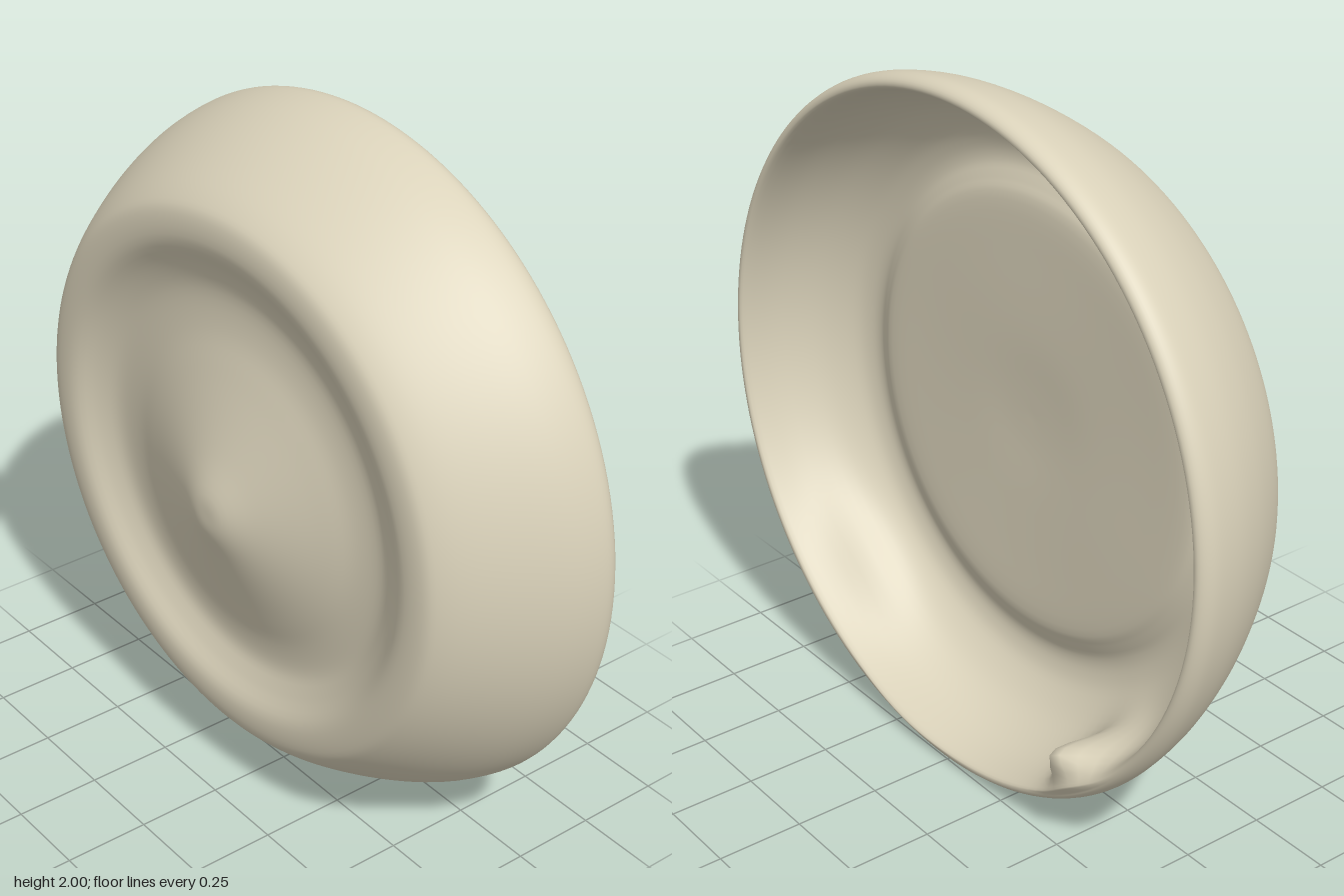
import * as THREE from 'three';
import { mergeVertices } from 'three/addons/utils/BufferGeometryUtils.js';

// dents in the inner wall: angle in the y/z plane, depth position, widths, push inward, lift to the opening
const DENTS = [
  { angle: Math.atan2(-0.72, -0.49), x: 0.13, wide: 0.11, deep: 0.09, push: 0.08, lift: 0.125 },
  { angle: Math.atan2(0.8, -0.28), x: 0.04, wide: 0.2, deep: 0.09, push: 0.04, lift: 0 },
  { angle: Math.atan2(0.45, -0.85), x: 0.05, wide: 0.4, deep: 0.1, push: 0.025, lift: 0 },
  { angle: Math.atan2(-0.68, 0.6), x: 0.08, wide: 0.25, deep: 0.09, push: 0.045, lift: 0 },
  { angle: Math.atan2(-0.98, 0.18), x: 0.2, wide: 0.2, deep: 0.08, push: 0.005, lift: 0.012 },
];

function createDish() {
  // profile as (radius, x): back boss, recess, foot ring, outer wall, rim, inner wall, raised floor
  const profile = [
    [0, -0.285], [0.06, -0.28], [0.16, -0.244], [0.27, -0.206], [0.37, -0.173], [0.46, -0.147],
    [0.55, -0.14], [0.62, -0.163], [0.69, -0.198], [0.765, -0.196], [0.81, -0.167], [0.865, -0.1],
    [0.928, 0], [0.975, 0.1], [0.998, 0.19], [0.994, 0.232], [0.975, 0.25], [0.956, 0.232],
    [0.93, 0.12], [0.88, 0.022], [0.81, -0.047], [0.755, -0.073], [0.708, -0.076],
    [0.665, -0.059], [0.61, -0.042], [0.45, -0.042], [0.25, -0.047], [0.1, -0.055], [0, -0.058],
  ];
  const curve = new THREE.SplineCurve(profile.map(([r, x]) => new THREE.Vector2(r, x)));
  const points = curve.getPoints((profile.length - 1) * 4);
  points.forEach((p) => { p.x = Math.max(0, p.x); });
  points[0].x = points[points.length - 1].x = 0;
  const rimRow = 16 * 4;

  let geo = new THREE.LatheGeometry(points, 160);
  geo.rotateZ(-Math.PI / 2); // opening faces +x
  const pos = geo.attributes.position;
  for (let i = 0; i < pos.count; i++) {
    let x = pos.getX(i), y = pos.getY(i), z = pos.getZ(i);
    const r = Math.hypot(y, z);
    const inside = i % points.length > rimRow;
    if (inside && r > 0.7) {
      const angle = Math.atan2(y, z);
      let push = 0, lift = 0;
      for (const d of DENTS) {
        const da = Math.atan2(Math.sin(angle - d.angle), Math.cos(angle - d.angle));
        const g = Math.exp(-((da / d.wide) ** 2) - ((x - d.x) / d.deep) ** 2);
        push += d.push * g;
        lift += d.lift * g;
      }
      y *= (r - push) / r;
      z *= (r - push) / r;
      x += lift;
    } else if (inside) {
      // gentle hand-formed waves in the floor
      x += 0.01 * Math.sin(5 * z + 1) * Math.sin(4 * y + 0.5) * (1 - r / 0.7);
    } else if (r < 0.6) {
      // the boss on the back sits slightly off centre
      const fade = 1 - (r / 0.6) ** 2;
      y -= 0.035 * fade;
      z += 0.03 * fade;
    }
    // slight lean of the whole dish, stronger at the back than at the rim
    const lean = x < 0 ? 0.042 : 0.042 - 0.044 * x;
    pos.setXYZ(i, x + lean * z - 0.011 * y, y + 1, z);
  }
  geo.deleteAttribute('uv');
  geo.deleteAttribute('normal');
  geo = mergeVertices(geo, 1e-5);
  geo.computeVertexNormals();
  return geo;
}

export function createModel() {
  const group = new THREE.Group();
  group.name = 'dish';
  const clay = new THREE.MeshStandardMaterial({ color: 0xdad2ba });
  clay.name = 'pale clay';
  const bowl = new THREE.Mesh(createDish(), clay);
  bowl.name = 'bowl';
  group.add(bowl);
  return group;
}
